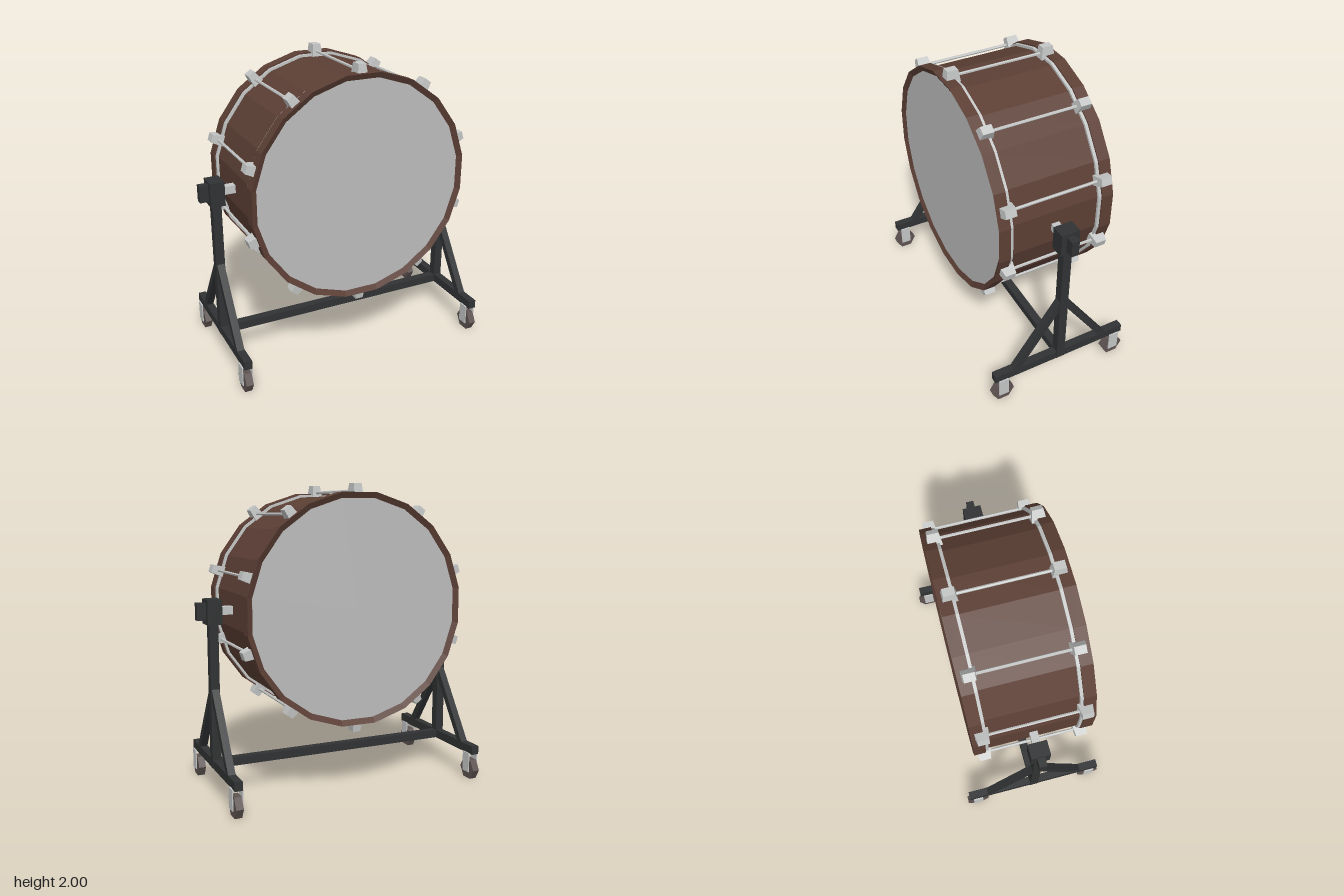
import * as THREE from 'three';

const mat = (name, color) => {
  const m = new THREE.MeshStandardMaterial({ color });
  m.name = name;
  return m;
};

export function createModel() {
  const wood = mat('brown wood', 0x5c3f35);
  const skin = mat('drum skin', 0xbcbcbc);
  const metal = mat('silver metal', 0xc4c6c6);
  const frame = mat('black frame', 0x303233);
  const rubber = mat('wheel rubber', 0x5e5452);

  const SIDES = 20, CY = 1.205;
  const root = new THREE.Group();
  root.name = 'bassDrum';

  // Adds a faceted mesh to a parent
  const add = (parent, name, geo, material, x = 0, y = 0, z = 0) => {
    const g = geo.index ? geo.toNonIndexed() : geo;
    g.computeVertexNormals();
    const m = new THREE.Mesh(g, material);
    m.name = name;
    m.position.set(x, y, z);
    parent.add(m);
    return m;
  };
  const box = (parent, name, material, w, h, d, x, y, z) =>
    add(parent, name, new THREE.BoxGeometry(w, h, d), material, x, y, z);

  // Turned ring around the drum axis; profile is [radius, z]
  const turned = (profile) => new THREE.LatheGeometry(
    profile.map(([r, z]) => new THREE.Vector2(r, z)), SIDES, Math.PI / SIDES).rotateX(Math.PI / 2);
  const disc = (r, depth) => new THREE.CylinderGeometry(
    r, r, depth, SIDES, 1, false, Math.PI / SIDES).rotateX(Math.PI / 2);

  // Drum body
  const drum = new THREE.Group();
  drum.name = 'drum';
  drum.position.y = CY;
  root.add(drum);
  add(drum, 'shell', disc(0.724, 0.64), wood);

  for (const s of [1, -1]) {
    const end = new THREE.Group();
    end.name = s > 0 ? 'frontEnd' : 'backEnd';
    if (s < 0) end.rotation.y = Math.PI;
    drum.add(end);
    // Hoop with a sloping inner lip
    add(end, 'hoop', turned([[0.7, 0.312], [0.749, 0.312], [0.749, 0.39], [0.71, 0.37], [0.7, 0.37]]), wood);
    add(end, 'head', disc(0.712, 0.04), skin, 0, 0, 0.352);
    add(end, 'tensionRing', turned([[0.715, 0.292], [0.74, 0.292], [0.74, 0.314], [0.715, 0.314]]), metal);
  }

  // Tapered claw: narrows away from the drum
  const clawGeometry = () => {
    const g = new THREE.BoxGeometry(0.07, 0.08, 0.094);
    const p = g.attributes.position;
    for (let i = 0; i < p.count; i++) {
      if (p.getY(i) > 0) p.setXYZ(i, p.getX(i) * 0.74, p.getY(i), p.getZ(i) * 0.76);
    }
    return g;
  };

  // Ten tension rods, each with a claw at both ends
  for (let i = 0; i < 10; i++) {
    const lug = new THREE.Group();
    lug.name = 'tensionLug';
    lug.rotation.z = i * Math.PI / 5;
    drum.add(lug);
    add(lug, 'rod', new THREE.CylinderGeometry(0.01, 0.01, 0.62, 6).rotateX(Math.PI / 2), metal, 0, 0.747, 0);
    for (const s of [1, -1]) add(lug, 'claw', clawGeometry(), metal, 0, 0.755, s * 0.322);
  }

  // Stand
  const stand = new THREE.Group();
  stand.name = 'stand';
  root.add(stand);
  box(stand, 'crossBar', frame, 1.66, 0.055, 0.056, 0, 0.207, 0);

  for (const s of [1, -1]) {
    const side = new THREE.Group();
    side.name = s > 0 ? 'leftStand' : 'rightStand';
    side.position.x = s * 0.844;
    if (s < 0) side.rotation.y = Math.PI;
    stand.add(side);
    box(side, 'post', frame, 0.058, 0.96, 0.058, 0, 0.66, 0);
    box(side, 'footBar', frame, 0.052, 0.058, 0.97, 0, 0.207, 0);
    box(side, 'clamp', frame, 0.095, 0.16, 0.124, 0, CY - 0.004, 0);
    box(side, 'clampKnob', frame, 0.06, 0.11, 0.05, 0.075, CY, 0);
    box(side, 'pivotArm', metal, 0.11, 0.052, 0.052, -0.092, CY, 0);

    for (const f of [1, -1]) {
      // Diagonal brace from the foot to the post
      const brace = box(side, 'brace', frame, 0.048, 0.6, 0.045, 0, 0.455, f * 0.172);
      brace.rotation.x = -f * Math.atan2(0.33, 0.48);

      // Caster
      const caster = new THREE.Group();
      caster.name = 'caster';
      caster.position.set(0, 0, f * 0.425);
      side.add(caster);
      add(caster, 'wheel', new THREE.CylinderGeometry(0.077, 0.077, 0.048, 6).rotateZ(Math.PI / 2),
        rubber, 0, 0.0667, 0);
      for (const c of [1, -1]) box(caster, 'forkPlate', metal, 0.007, 0.135, 0.07, c * 0.032, 0.115, 0);
      box(caster, 'forkTop', metal, 0.07, 0.007, 0.07, 0, 0.179, 0);
    }
  }
  return root;
}
